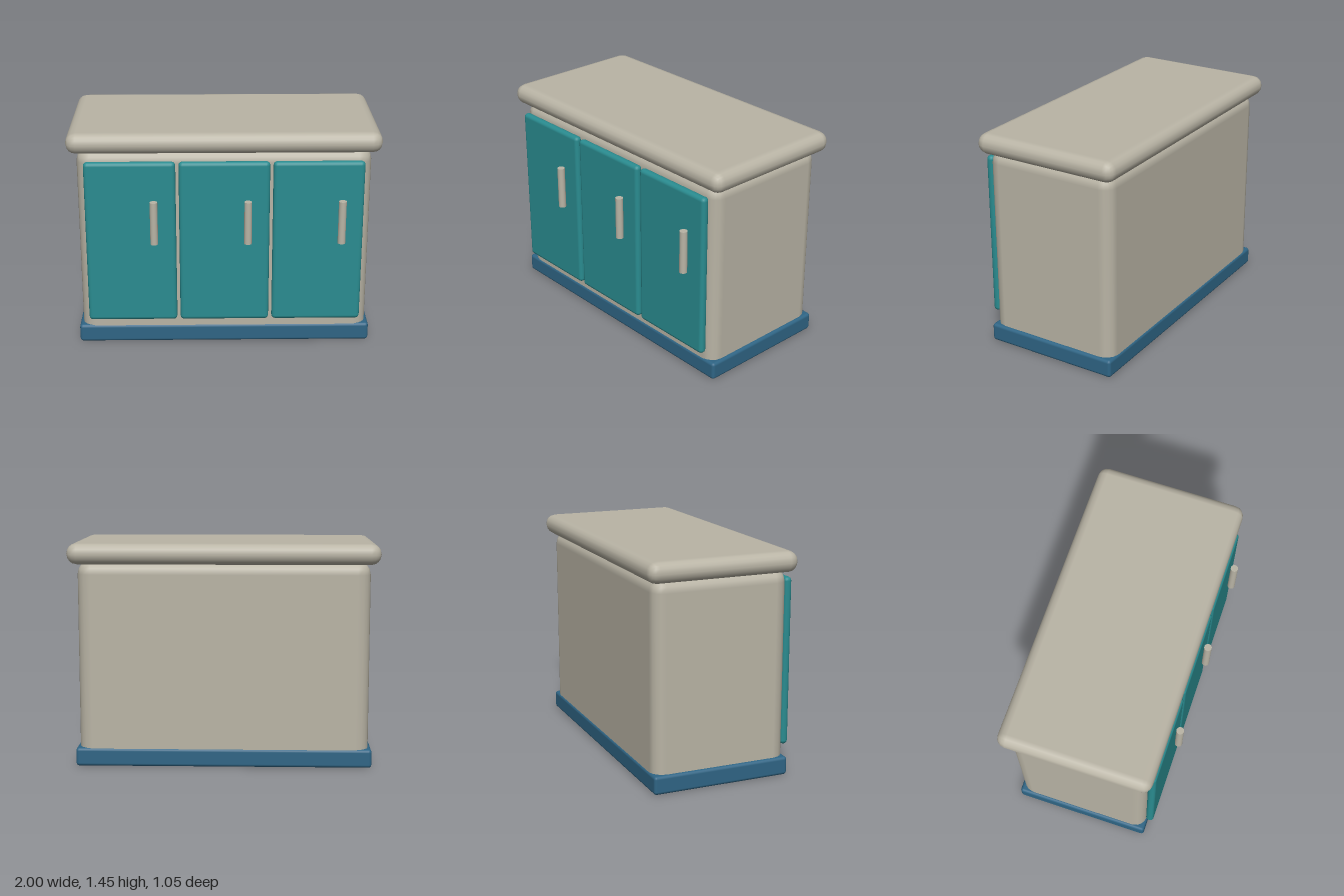
import * as THREE from 'three';
import { RoundedBoxGeometry } from 'three/addons/geometries/RoundedBoxGeometry.js';

export function createModel() {
  const group = new THREE.Group();
  const stone = new THREE.MeshStandardMaterial({ color: 0xb9b4a5 });
  const teal = new THREE.MeshStandardMaterial({ color: 0x2a8c90 });
  const blue = new THREE.MeshStandardMaterial({ color: 0x2f6585 });

  // Rounded box given by its [min, max] range on each axis
  function block(name, material, [x0, x1], [y0, y1], [z0, z1], radius) {
    const geometry = new RoundedBoxGeometry(x1 - x0, y1 - y0, z1 - z0, 2, radius);
    const mesh = new THREE.Mesh(geometry, material);
    mesh.name = name;
    mesh.position.set((x0 + x1) / 2, (y0 + y1) / 2, (z0 + z1) / 2);
    group.add(mesh);
  }

  block('plinth', blue, [-0.96, 0.96], [0, 0.12], [-0.485, 0.43], 0.02);
  block('cabinetBody', stone, [-0.94, 0.94], [0.003, 1.335], [-0.477, 0.423], 0.085);
  block('countertop', stone, [-1, 1], [1.315, 1.45], [-0.525, 0.468], 0.066);

  // Three doors, each with an upright round handle towards its +x edge
  const sides = ['right', 'middle', 'left'];
  sides.forEach((side, i) => {
    const x = (i - 1) * 0.6;
    block(side + 'Door', teal, [x - 0.29, x + 0.29], [0.177, 1.27], [0.42, 0.473], 0.025);

    const handle = new THREE.Mesh(new THREE.CylinderGeometry(0.025, 0.025, 0.285, 20), stone);
    handle.name = side + 'Handle';
    handle.position.set(x + 0.15, 0.875, 0.5);
    group.add(handle);
  });

  return group;
}
